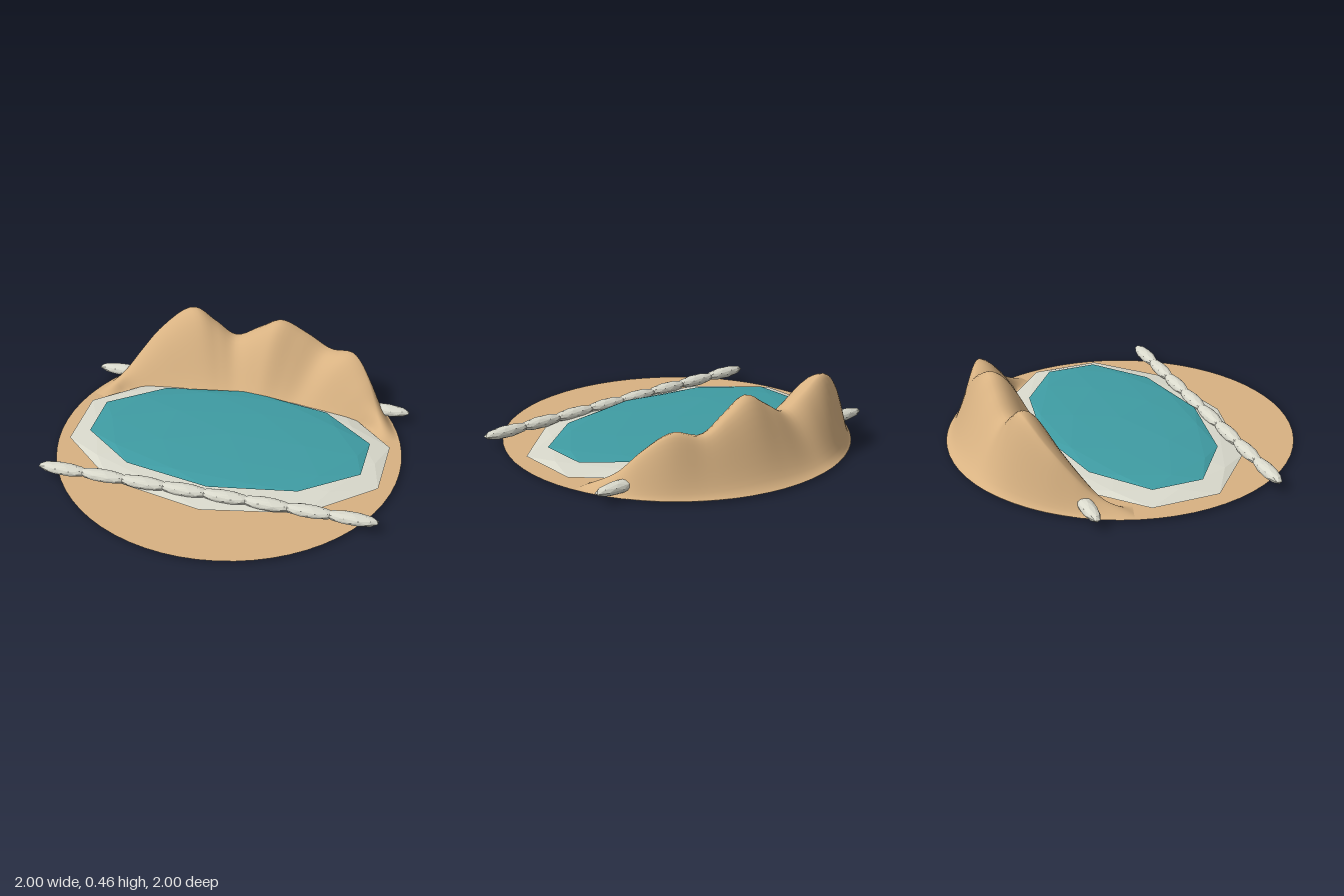
import * as THREE from 'three';

const sand = new THREE.MeshStandardMaterial({ color: 0xd8b282, side: THREE.DoubleSide });
sand.name = 'sand';
const stone = new THREE.MeshStandardMaterial({ color: 0xd9d9cc });
stone.name = 'paleStone';
const water = new THREE.MeshStandardMaterial({ color: 0x3f9ca3 });
water.name = 'water';

function add(parent, name, geometry, material, x = 0, y = 0, z = 0) {
  const mesh = new THREE.Mesh(geometry, material);
  mesh.name = name;
  mesh.position.set(x, y, z);
  parent.add(mesh);
  return mesh;
}

// Faceted ellipsoid with a corner at the top and a ten-sided outline
function pebble(rx, ry, rz) {
  const g = new THREE.IcosahedronGeometry(1, 1);
  g.rotateZ(-Math.atan(2 / (1 + Math.sqrt(5))));
  g.scale(rx, ry, rz);
  g.computeVertexNormals();
  return g;
}

// Crescent dune: a bell-shaped section swept along a wavy ridge
function duneGeometry(baseY) {
  // ridge points: angle from the back in degrees, radius, height
  const ridge = new THREE.CatmullRomCurve3([
    [-72, 0.93, 0], [-60, 0.9, 0.08], [-52, 0.895, 0.19], [-43, 0.885, 0.32],
    [-30, 0.84, 0.45], [-21, 0.78, 0.37], [-12, 0.73, 0.295], [0, 0.72, 0.375],
    [10, 0.73, 0.445], [21, 0.78, 0.375], [31, 0.84, 0.295], [42, 0.885, 0.325],
    [52, 0.895, 0.22], [60, 0.9, 0.1], [72, 0.93, 0],
  ].map((p) => new THREE.Vector3(...p)));
  const cols = 72, rows = 24, pos = [], index = [];
  for (let i = 0; i <= cols; i++) {
    const p = ridge.getPoint(i / cols);
    const a = THREE.MathUtils.degToRad(p.x);
    const inner = Math.min(0.385 / Math.cos(a), 0.85);
    for (let j = 0; j <= rows; j++) {
      const t = (j / rows) * 2 - 1;
      const r = t < 0 ? p.y + t * (p.y - inner) : p.y + t * (0.998 - p.y);
      const bell = Math.pow(Math.max(0, Math.cos(t * Math.PI / 2)), 1.7);
      pos.push(r * Math.sin(a), baseY + Math.max(0, p.z) * bell, -r * Math.cos(a));
      if (i < cols && j < rows) {
        const k = i * (rows + 1) + j, n = k + rows + 1;
        index.push(k, n, k + 1, n, n + 1, k + 1);
      }
    }
  }
  const g = new THREE.BufferGeometry();
  g.setAttribute('position', new THREE.Float32BufferAttribute(pos, 3));
  g.setIndex(index);
  g.computeVertexNormals();
  // make sure the outside faces up
  if (g.attributes.normal.getY(Math.floor(cols / 2) * (rows + 1) + rows / 2) < 0) {
    g.setIndex(index.reverse());
    g.computeVertexNormals();
  }
  return g;
}

export function createModel() {
  const model = new THREE.Group();
  model.name = 'oasis';

  // Sand floor and dune
  const floorY = 0.014;
  const floor = new THREE.CircleGeometry(1, 64).rotateX(-Math.PI / 2);
  add(model, 'sandFloor', floor, sand, 0, floorY, 0);
  add(model, 'dune', duneGeometry(floorY + 0.001), sand);

  // Pool: pale shore with water on top
  add(model, 'shore', pebble(0.957, 0.037, 0.63), stone, 0, 0.037, 0);
  add(model, 'poolWater', pebble(0.842, 0.027, 0.475), water, 0, 0.077, 0);

  // Two rows of border stones; the back row runs through the dune
  for (const [name, z] of [['frontBorder', 0.52], ['backBorder', -0.52]]) {
    const row = new THREE.Group();
    row.name = name;
    for (let i = 0; i < 8; i++) {
      add(row, 'borderStone', pebble(0.153, 0.034, 0.044), stone, (i - 3.5) * 0.235, 0.067, z);
    }
    model.add(row);
  }
  return model;
}
